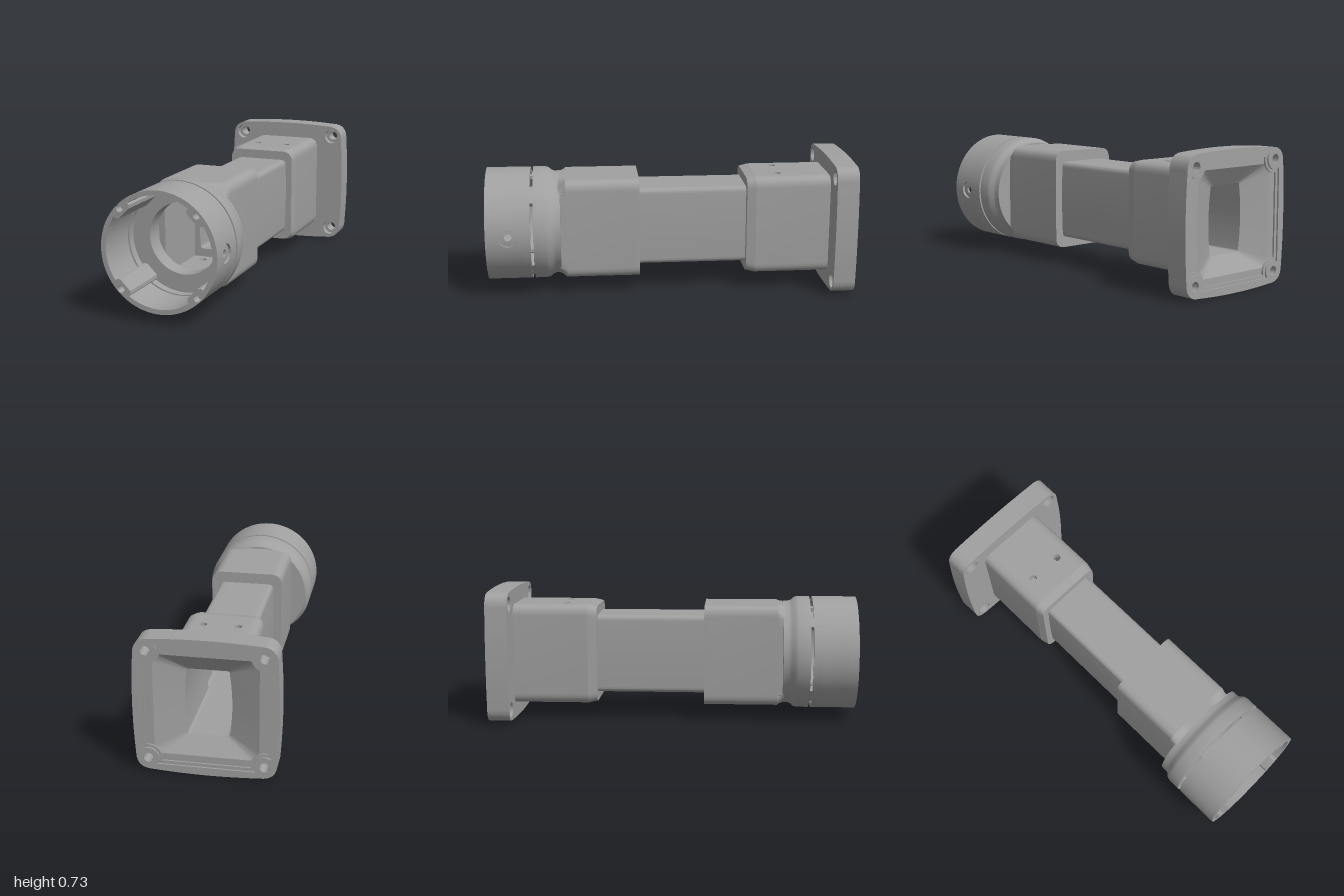
import * as THREE from 'three';
import { toCreasedNormals } from 'three/addons/utils/BufferGeometryUtils.js';

const V2 = (x, y) => new THREE.Vector2(x, y);

export function createModel() {
  const grey = new THREE.MeshStandardMaterial({ color: 0xa0a0a0, side: THREE.DoubleSide });
  grey.name = 'cast grey';
  const root = new THREE.Group();
  root.name = 'flangedHousing';
  const body = new THREE.Group();
  body.name = 'body';
  body.position.y = 0.3635;
  root.add(body);

  const add = (name, geo, parent = body) => {
    const m = new THREE.Mesh(toCreasedNormals(geo, 0.5), grey);
    m.name = name;
    parent.add(m);
    return m;
  };

  // Rounded rectangle whose sides bow outward by bx and by
  const outline = (hw, hh, r, bx = 0, by = 0) => {
    const s = new THREE.Shape();
    s.moveTo(hw, -hh + r);
    s.quadraticCurveTo(hw + 2 * bx, 0, hw, hh - r);
    s.quadraticCurveTo(hw, hh, hw - r, hh);
    s.quadraticCurveTo(0, hh + 2 * by, -hw + r, hh);
    s.quadraticCurveTo(-hw, hh, -hw, hh - r);
    s.quadraticCurveTo(-hw - 2 * bx, 0, -hw, -hh + r);
    s.quadraticCurveTo(-hw, -hh, -hw + r, -hh);
    s.quadraticCurveTo(0, -hh - 2 * by, hw - r, -hh);
    s.quadraticCurveTo(hw, -hh, hw, -hh + r);
    return s;
  };
  const circle = (x, y, r) => new THREE.Path().absarc(x, y, r, 0, Math.PI * 2, true);

  // Extrude a shape with holes between two z values
  const slab = (shape, holes, z0, z1, seg = 10) => {
    shape.holes.push(...holes);
    return new THREE.ExtrudeGeometry(shape, { depth: z1 - z0, bevelEnabled: false, curveSegments: seg })
      .translate(0, 0, z0);
  };

  // Skin between closed loops of equal point count
  const loft = (loops) => {
    const n = loops[0].length, pos = [], idx = [];
    loops.forEach((l) => l.forEach((p) => pos.push(p.x, p.y, p.z)));
    for (let k = 0; k < loops.length - 1; k++) {
      for (let i = 0; i < n; i++) {
        const a = k * n + i, b = k * n + ((i + 1) % n);
        idx.push(a, b, b + n, a, b + n, a + n);
      }
    }
    const g = new THREE.BufferGeometry();
    g.setAttribute('position', new THREE.Float32BufferAttribute(pos, 3));
    g.setIndex(idx);
    return g;
  };
  const section = (shape, z, maxR = 9) => shape.getPoints(10).slice(0, -1).map((p) => {
    const k = Math.min(1, maxR / p.length());
    return new THREE.Vector3(p.x * k, p.y * k, z);
  });

  // Lathe about z from [radius, z] pairs
  const lathe = (pts, start = 0, len = Math.PI * 2) =>
    new THREE.LatheGeometry(pts.map(([r, z]) => V2(r, z)), 96, start, len).rotateX(Math.PI / 2);

  // Square collar: two C-shaped sides plus top and bottom panels with drilled holes
  const HW = 0.2, HH = 0.275, R = 0.06, T = 0.035;
  const collar = (name, z0, z1, topZ, bottomZ) => {
    const g = new THREE.Group();
    g.name = name;
    body.add(g);
    for (const side of [1, -1]) {
      const xf = HW - R, c = new THREE.Shape();
      c.moveTo(xf, -HH);
      c.quadraticCurveTo(HW, -HH, HW, -HH + R);
      c.lineTo(HW, HH - R);
      c.quadraticCurveTo(HW, HH, xf, HH);
      for (const [x, y] of [[xf, HH - T], [HW - T, HH - T], [HW - T, T - HH], [xf, T - HH]]) c.lineTo(x, y);
      const geo = slab(c, [], z0, z1);
      if (side < 0) geo.rotateZ(Math.PI);
      add(side > 0 ? 'leftWall' : 'rightWall', geo, g);
    }
    for (const [label, zs, y] of [['topPanel', topZ, HH - T], ['bottomPanel', bottomZ, -HH]]) {
      const w = HW - R;
      const s = new THREE.Shape([V2(-w, -z1), V2(w, -z1), V2(w, -z0), V2(-w, -z0)]);
      const holes = zs.flatMap((z) => [-0.09, 0.09].map((x) => circle(x, -z, 0.02)));
      add(label, slab(s, holes, 0, T).rotateX(-Math.PI / 2).translate(0, y, 0), g);
    }
  };

  // Rear mounting plate, counterbored from the front
  const P = 0.291;
  const corners = [[P, P], [-P, P], [-P, -P], [P, -P]];
  const plate = () => outline(0.3535, 0.3535, 0.085, 0.01, 0.01);
  const bolts = (r) => corners.map(([x, y]) => circle(x, y, r));
  const tunnel = () => outline(0.106, 0.177, 0.012, 0.012, 0);
  const mouth = () => outline(0.262, 0.268, 0.05);
  // Recess outline that curves inward around each bolt boss
  const recess = (h, r) => {
    const pts = [], a = Math.acos((h - P) / r);
    corners.forEach((c, q) => {
      for (let i = 0; i <= 12; i++) {
        const t = -a - (1.5 * Math.PI - 2 * a + Math.PI / 2 - Math.PI / 2) * (i / 12) + q * Math.PI / 2;
        pts.push(V2(c[0] + r * Math.cos(t), c[1] + r * Math.sin(t)));
      }
    });
    return new THREE.Path(pts);
  };
  add('plateFront', slab(plate(), [tunnel(), ...bolts(0.041)], -0.92, -0.88, 16));
  add('plateCore', slab(plate(), [mouth(), ...bolts(0.025)], -0.982, -0.92, 16));
  add('plateInnerRim', slab(plate(), [recess(0.305, 0.07), ...bolts(0.025)], -0.991, -0.982, 16));
  add('plateOuterRim', slab(plate(), [recess(0.322, 0.055), ...bolts(0.025)], -1, -0.991, 16));
  add('funnel', loft([section(mouth(), -0.982), section(tunnel(), -0.92)]));
  add('tunnelLiner', loft([section(tunnel(), -0.92), section(tunnel(), -0.42)]));

  // Rear collar with a tapered front end
  collar('rearCollar', -0.88, -0.47, [-0.6], [-0.5, -0.75]);
  const tip = () => outline(HW - 0.01, HH - 0.01, R);
  add('rearCollarTaper', loft([section(outline(HW, HH, R), -0.47), section(tip(), -0.42)]));
  add('rearCollarCap', slab(tip(), [tunnel()], -0.43, -0.42));

  // Slim middle tube
  const bore = () => outline(0.13, 0.195, 0.02, 0.006);
  add('middleTube', slab(outline(0.152, 0.215, 0.03, 0.004), [bore()], -0.425, 0.185));

  // Front collar, its corners trimmed where it meets the round flange
  collar('frontCollar', 0.17, 0.57, [], [0.25, 0.5]);
  add('frontCollarCap', slab(outline(HW, HH, R), [bore()], 0.17, 0.19));
  add('frontCollarTrim', loft([section(outline(HW, HH, R), 0.57), section(outline(HW, HH, R), 0.61, 0.285)]));

  // Round flange
  add('flange', lathe([[0.19, 0.6], [0.285, 0.6], [0.285, 0.63], [0.29, 0.645], [0.305, 0.662], [0.31, 0.68],
    [0.31, 0.745], [0.285, 0.745], [0.285, 0.7], [0.19, 0.7], [0.19, 0.6]]));

  // Front ring wall, leaving a sector open for the side port
  const RO = 0.31, RI = 0.285, gap = 0.25;
  const wall = (z0, z1) => [[RI, z0], [RO, z0], [RO, z1], [RI, z1], [RI, z0]];
  add('ringBase', lathe(wall(0.76, 0.8)));
  add('ringWall', lathe(wall(0.8, 0.95), Math.PI / 2 + gap, 2 * Math.PI - 2 * gap));

  // Counterbored port in the open sector, wrapped to the ring's curve
  const rim = [];
  const box = [[-1, -0.08], [1, -0.08], [1, 0.07], [-1, 0.07]];
  box.forEach(([u, w], k) => {
    const [u2, w2] = box[(k + 1) % 4];
    for (let i = 0; i < 12; i++) rim.push([(u + (u2 - u) * i / 12) * gap, w + (w2 - w) * i / 12]);
  });
  // f = 0 lies on the hole of radius r, f = 1 on the sector border
  const portLoop = (rad, r, f) => rim.map(([u, w]) => {
    const s = u * rad, l = Math.hypot(s, w), k = f + (1 - f) * r / l;
    const t = s * k / rad;
    return new THREE.Vector3(rad * Math.cos(t), rad * Math.sin(t), 0.88 + w * k);
  });
  add('sidePort', loft([portLoop(RO, 0.05, 1), portLoop(RO, 0.05, 0.5), portLoop(RO, 0.05, 0),
    portLoop(0.297, 0.05, 0), portLoop(0.297, 0.02, 0), portLoop(RI, 0.02, 0),
    portLoop(RI, 0.02, 0.5), portLoop(RI, 0.02, 1)]));

  // Ring front edge with four screw lugs
  const inner = [];
  const half = Math.asin(0.052 / RI);
  for (let q = 0; q < 4; q++) {
    const mid = Math.PI / 4 + q * Math.PI / 2, c = Math.cos(mid), s = Math.sin(mid);
    for (const [d, w] of [[0.268, -0.052], [0.256, -0.038], [0.256, 0.038], [0.268, 0.052]])
      inner.push(V2(d * c - w * s, d * s + w * c));
    for (let i = 0; i <= 20; i++) {
      const t = mid + half + (Math.PI / 2 - 2 * half) * i / 20;
      inner.push(V2(RI * Math.cos(t), RI * Math.sin(t)));
    }
  }
  const disc = new THREE.Shape().absarc(0, 0, RO, 0, Math.PI * 2);
  const screws = [0, 1, 2, 3].map((q) => {
    const t = Math.PI / 4 + q * Math.PI / 2;
    return circle(0.289 * Math.cos(t), 0.289 * Math.sin(t), 0.018);
  });
  add('ringEdge', slab(disc, [new THREE.Path(inner), ...screws], 0.95, 1, 96));

  // Lugs running back across the gap to the flange
  for (let q = 0; q < 4; q++) {
    const lug = new THREE.Shape([V2(0.256, -0.038), V2(0.268, -0.052), V2(0.298, -0.052),
      V2(0.298, 0.052), V2(0.268, 0.052), V2(0.256, 0.038)]);
    add('screwLug', slab(lug, [], 0.7, 0.95).rotateZ(Math.PI / 4 + q * Math.PI / 2));
  }
  return root;
}
